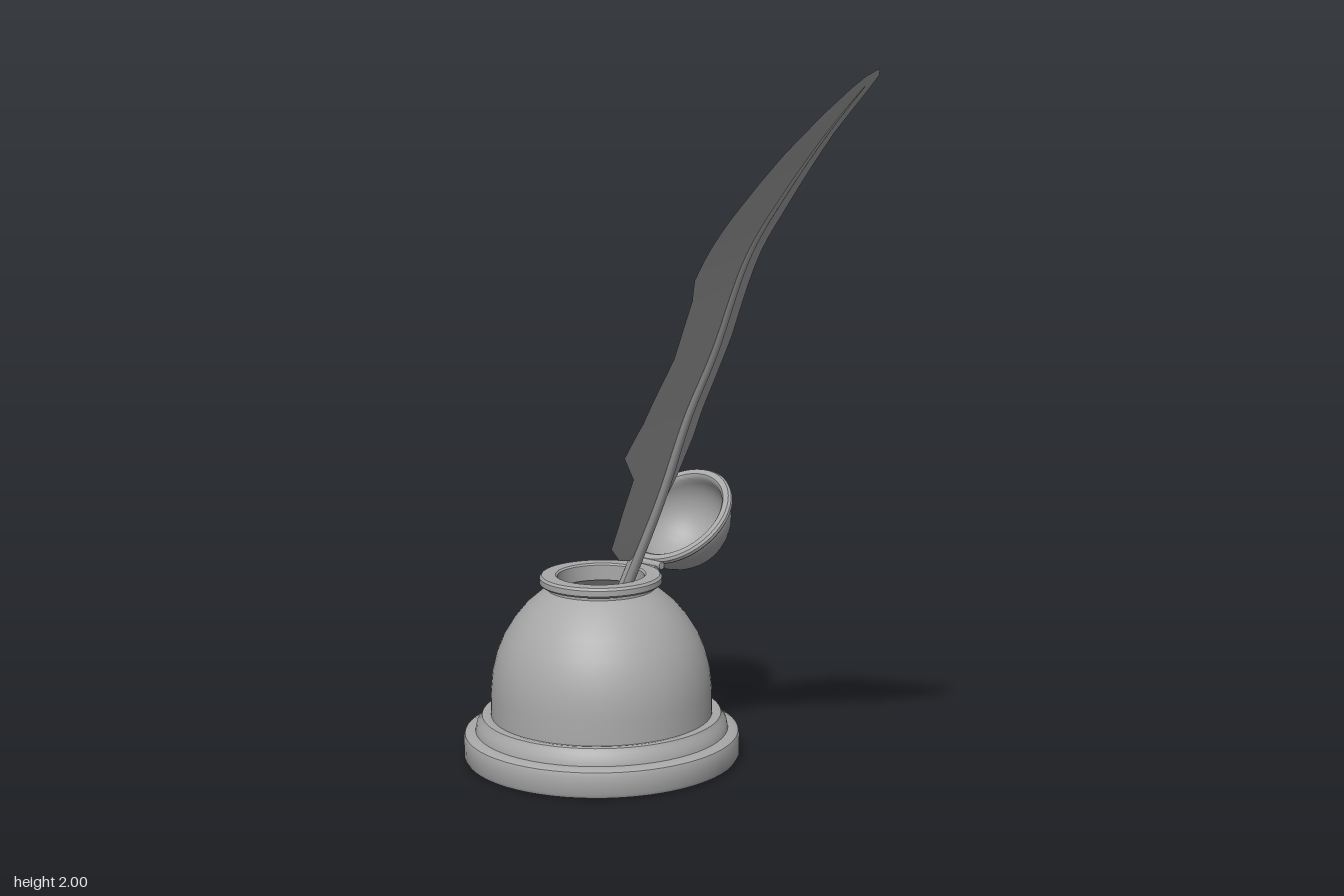
import * as THREE from 'three';
import { toCreasedNormals } from 'three/addons/utils/BufferGeometryUtils.js';

const grey = new THREE.MeshStandardMaterial({ color: 0xa8a8a8 });
grey.name = 'plain grey';
const greySheet = grey.clone();
greySheet.side = THREE.DoubleSide;

const POT_X = -0.35, POT_Z = -0.055;

function add(parent, name, geometry, material = grey) {
  const mesh = new THREE.Mesh(geometry, material);
  mesh.name = name;
  parent.add(mesh);
  return mesh;
}

function lathe(points, sides = 64) {
  const profile = points.map(([r, y]) => new THREE.Vector2(r, y));
  return toCreasedNormals(new THREE.LatheGeometry(profile, sides), 0.6);
}

// Quarter arc from the bowl's bottom (t = 0) to its edge (t = 1)
function arc(r, n = 12) {
  return Array.from({ length: n + 1 }, (_, i) => {
    const a = (i / n) * Math.PI / 2;
    return [r * Math.sin(a), -r * Math.cos(a)];
  });
}

// Linear lookup of a value in a list of [y, value] pairs
function lookup(table, y) {
  for (let i = 1; i < table.length; i++) {
    const [y0, a] = table[i - 1], [y1, b] = table[i];
    if (y <= y1) return a + (b - a) * THREE.MathUtils.clamp((y - y0) / (y1 - y0), 0, 1);
  }
  return table[table.length - 1][1];
}

function createInkwell() {
  const well = new THREE.Group();
  well.name = 'inkwell';
  well.position.set(POT_X, 0, POT_Z);

  // Round foot with a stepped collar
  add(well, 'foot', lathe([
    [0, 0], [0.385, 0], [0.395, 0.004], [0.4, 0.014], [0.4, 0.065], [0.396, 0.077], [0.385, 0.083],
    [0.366, 0.085], [0.362, 0.105], [0.352, 0.118], [0.346, 0.13], [0.335, 0.132], [0.315, 0.128],
  ]));

  // Domed body, open and hollow
  const outer = [[0.32, 0.1], [0.32, 0.2], [0.314, 0.26], [0.3, 0.315], [0.28, 0.362], [0.25, 0.41],
    [0.215, 0.452], [0.175, 0.486], [0.155, 0.5], [0.155, 0.516]];
  const inner = [[0.125, 0.5], [0.15, 0.47], [0.21, 0.42], [0.25, 0.36], [0.28, 0.28], [0.285, 0.1], [0, 0.1]];
  add(well, 'body', lathe([...outer, ...inner]));

  // Lip around the mouth
  add(well, 'lip', lathe([
    [0.125, 0.49], [0.15, 0.51], [0.17, 0.511], [0.176, 0.517], [0.176, 0.533], [0.17, 0.54], [0.13, 0.54], [0.125, 0.535], [0.125, 0.49],
  ]));

  // Hinged lid, thrown back
  const back = new THREE.Group();
  back.name = 'lidAssembly';
  back.rotation.y = -0.223;
  well.add(back);
  const lid = add(back, 'lid', lathe([
    ...arc(0.16), [0.172, -0.012], [0.178, -0.005], [0.178, 0.005], [0.172, 0.012], [0.155, 0.012], [0.148, 0.005],
    ...arc(0.146).reverse(),
  ]));
  lid.position.set(0, 0.655, -0.328);
  lid.rotation.x = 0.71;

  // Hinge pin and plate
  const pin = add(back, 'hingePin', new THREE.CylinderGeometry(0.011, 0.011, 0.13, 16));
  pin.rotation.z = Math.PI / 2;
  pin.position.set(0, 0.54, -0.188);
  const plate = add(back, 'hingePlate', new THREE.BoxGeometry(0.11, 0.012, 0.05));
  plate.position.set(0, 0.532, -0.185);
  return well;
}

function createQuill() {
  const quill = new THREE.Group();
  quill.name = 'quill';
  const spine = new THREE.CatmullRomCurve3([
    [-0.43, 0.13, -0.062], [-0.355, 0.3, -0.046], [-0.243, 0.54, -0.024], [-0.115, 0.8, 0.012], [0, 1.05, 0.062],
    [0.106, 1.235, 0.11], [0.275, 1.52, 0.232], [0.435, 1.7, 0.328], [0.6, 1.865, 0.415], [0.742, 2, 0.467],
  ].map(p => new THREE.Vector3(...p)));

  // Shaft: a tube narrowed to a nib below and a fine tip above
  const rings = 70, sides = 10;
  const shaftCurve = new THREE.CatmullRomCurve3(spine.getPoints(60).filter(p => p.y < 1.96));
  const shaft = new THREE.TubeGeometry(shaftCurve, rings, 1, sides);
  const pos = shaft.attributes.position, v = new THREE.Vector3();
  for (let i = 0; i < pos.count; i++) {
    const t = Math.floor(i / (sides + 1)) / rings;
    const r = 0.023 * Math.min(1, t / 0.04) * (1 - t) ** 0.8 + 0.001;
    const centre = shaftCurve.getPointAt(t);
    v.fromBufferAttribute(pos, i).sub(centre).multiplyScalar(r).add(centre);
    pos.setXYZ(i, v.x, v.y, v.z);
  }
  shaft.computeVertexNormals();
  add(quill, 'shaft', shaft);

  // Vane edges as [y, z]: notched front edge and smooth back edge
  const front = [[0.6, -0.02], [0.62, 0.07], [0.675, 0.16], [0.8, 0.196], [0.89, 0.212], [0.97, 0.318], [1.065, 0.297],
    [1.245, 0.318], [1.41, 0.387], [1.47, 0.44], [1.635, 0.493], [1.8, 0.53], [1.9, 0.53], [1.96, 0.518], [1.985, 0.504], [2, 0.475]];
  const rear = [[0.6, -0.037], [0.735, -0.037], [0.855, -0.058], [0.97, -0.058], [1.13, -0.02], [1.275, 0.03],
    [1.45, 0.11], [1.615, 0.19], [1.725, 0.265], [1.84, 0.35], [1.94, 0.402], [1.985, 0.43], [2, 0.46]];
  const samples = spine.getPoints(200);
  const spineX = samples.map(p => [p.y, p.x]), spineZ = samples.map(p => [p.y, p.z]);

  // Vane: rows up the spine, with each half folded back slightly
  const ys = [...front, ...rear].map(p => p[0]);
  for (let y = 0.64; y < 2; y += 0.04) ys.push(y);
  const rows = [...new Set(ys)].sort((a, b) => a - b);
  const verts = [], faces = [];
  rows.forEach((y, i) => {
    const x = lookup(spineX, y), f = lookup(front, y), b = lookup(rear, y);
    const mid = THREE.MathUtils.clamp(lookup(spineZ, y), b, f);
    const fold = 0.008 * Math.min(1, (2 - y) / 0.3);
    verts.push(x - fold, y, f, x, y, mid, x - fold, y, b);
    if (i === 0) return;
    for (let c = 0; c < 2; c++) {
      const p = (i - 1) * 3 + c, q = i * 3 + c;
      faces.push(p, p + 1, q + 1, p, q + 1, q);
    }
  });
  const vane = new THREE.BufferGeometry();
  vane.setAttribute('position', new THREE.Float32BufferAttribute(verts, 3));
  vane.setIndex(faces);
  vane.computeVertexNormals();
  add(quill, 'vane', vane, greySheet);
  return quill;
}

export function createModel() {
  const model = new THREE.Group();
  model.name = 'inkwellAndQuill';
  model.add(createInkwell(), createQuill());
  return model;
}
